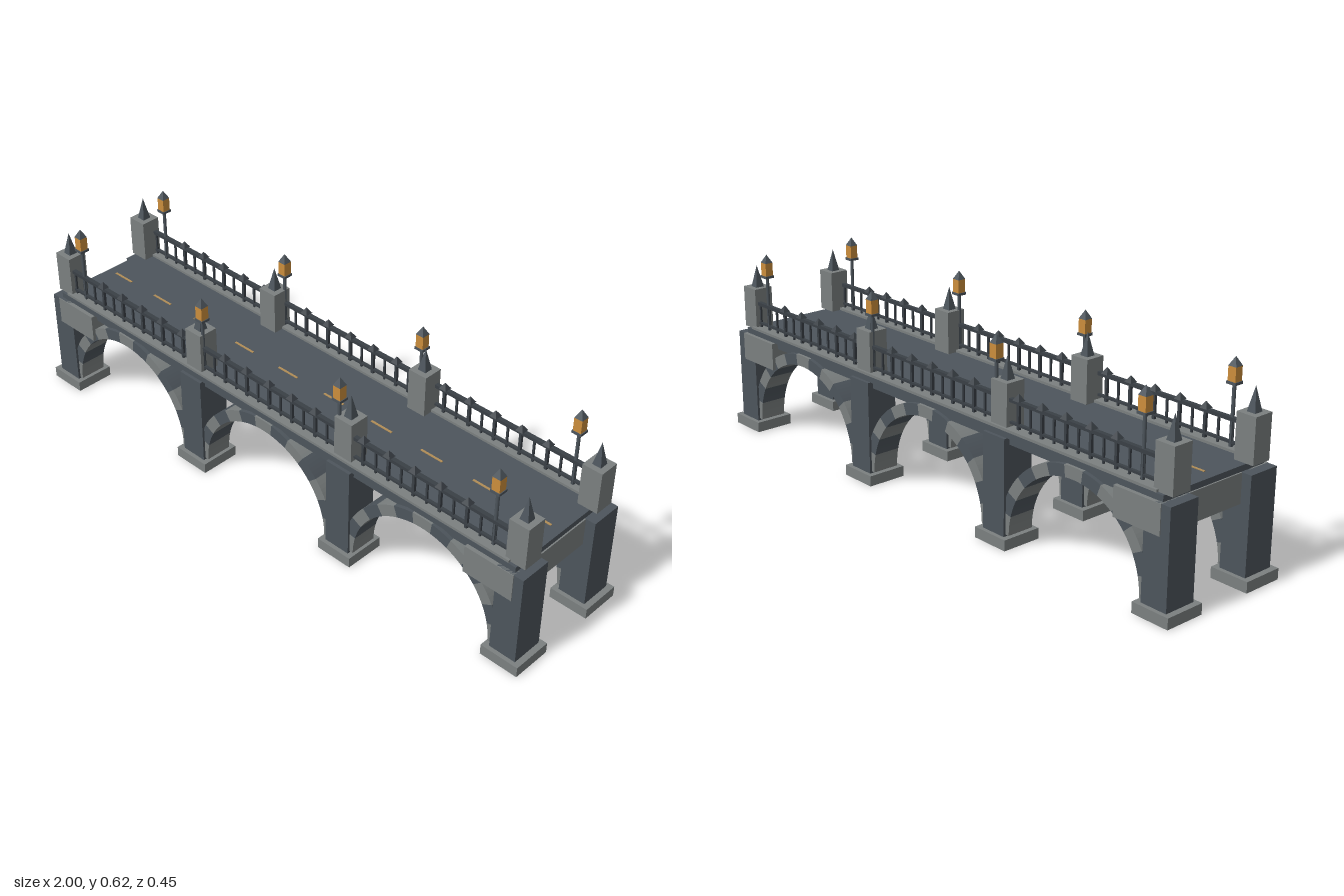
import * as THREE from 'three';

const mat = (name, color) => {
  const m = new THREE.MeshStandardMaterial({ color });
  m.name = name;
  return m;
};

export function createModel() {
  const stone = mat('pale stone', 0x7b8080);
  const slate = mat('dark slate', 0x4d555c);
  const iron = mat('dark iron', 0x3a4046);
  const amber = mat('amber glass', 0xcc8e3c);
  const paint = mat('road paint', 0xb08d57);

  const model = new THREE.Group();
  model.name = 'bridge';

  const add = (name, geo, material, x = 0, y = 0, z = 0, parent = model) => {
    const mesh = new THREE.Mesh(geo, material);
    mesh.name = name;
    mesh.position.set(x, y, z);
    parent.add(mesh);
    return mesh;
  };
  // Box given by its centre in x and z and its bottom and top heights
  const box = (name, material, x, z, y0, y1, w, d, parent) =>
    add(name, new THREE.BoxGeometry(w, y1 - y0, d), material, x, (y0 + y1) / 2, z, parent);
  // Square pyramid with its sides along the axes
  const pyramid = (name, material, x, z, y0, y1, w, parent) => {
    const geo = new THREE.ConeGeometry(w / Math.SQRT2, y1 - y0, 4).toNonIndexed();
    geo.rotateY(Math.PI / 4);
    geo.computeVertexNormals();
    return add(name, geo, material, x, (y0 + y1) / 2, z, parent);
  };

  // Road deck, with a narrower slab below
  box('deck', slate, 0, 0, 0.334, 0.352, 1.89, 0.398);
  box('deckSlab', slate, 0, 0, 0.313, 0.334, 1.87, 0.38);
  for (let i = 0; i < 10; i++) {
    box('laneDash', paint, (i - 4.5) * 0.193, 0, 0.351, 0.354, 0.08, 0.007);
  }

  // Abutment blocks at both ends
  for (const s of [-1, 1]) box('abutment', stone, s * 0.866, 0, 0.243, 0.334, 0.167, 0.424);

  // One curved block of an arch ring
  const rIn = 0.254, rOut = 0.291, springY = 0.04, blocks = 13;
  const archBlock = (a0, a1) => {
    const shape = new THREE.Shape();
    shape.absarc(0, 0, rOut, a0, a1, false);
    shape.absarc(0, 0, rIn, a1, a0, true);
    shape.closePath();
    return new THREE.ExtrudeGeometry(shape, { depth: 0.09, bevelEnabled: false, curveSegments: 3 });
  };

  const step = 0.0944;
  for (const s of [1, -1]) {
    const z = s * 0.157;
    const railZ = s * 0.174;

    // Piers with footings, newels and spikes
    for (const x of [-0.936, -0.312, 0.312, 0.936]) {
      box('footing', stone, x, z, 0, 0.034, 0.128, 0.132);
      box('pier', slate, x, z, 0.034, 0.334, 0.09, 0.105);
      box('newel', stone, x, z, 0.352, 0.49, 0.066, 0.066);
      pyramid('newelSpike', slate, x, z, 0.49, 0.563, 0.029);
    }

    // Arch rings of alternating blocks
    for (const x of [-0.624, 0, 0.624]) {
      const arch = new THREE.Group();
      arch.name = 'arch';
      arch.position.set(x, springY, z - 0.045);
      model.add(arch);
      for (let i = 0; i < blocks; i++) {
        const geo = archBlock((i * Math.PI) / blocks, ((i + 1) * Math.PI) / blocks);
        add('archBlock', geo, i % 2 ? slate : stone, 0, 0, 0, arch);
      }
    }

    // Kerb and railing
    box('kerb', stone, 0, s * 0.177, 0.352, 0.36, 1.84, 0.042);
    box('topRail', iron, 0, railZ, 0.435, 0.446, 1.82, 0.014);
    box('lowerRail', iron, 0, railZ, 0.37, 0.377, 1.82, 0.01);
    for (let i = -19; i <= 19; i++) {
      const main = i % 2 === 0;
      const w = main ? 0.009 : 0.006;
      box('baluster', iron, (i * step) / 2, railZ, 0.36, 0.436, w, w);
      if (main && i % 6 !== 0 || i === 0 || Math.abs(i) === 12) {
        pyramid('finial', iron, (i * step) / 2, railZ, 0.446, 0.466, 0.026);
      }
    }

    // Lamps
    for (const k of [-9, -3, 3, 9]) {
      const lamp = new THREE.Group();
      lamp.name = 'lamp';
      lamp.position.set(k * step, 0, railZ);
      model.add(lamp);
      add('lampPost', new THREE.CylinderGeometry(0.0055, 0.0055, 0.181, 8), slate, 0, 0.4505, 0, lamp);
      box('lampPlate', slate, 0, 0, 0.541, 0.549, 0.032, 0.032, lamp);
      box('lantern', amber, 0, 0, 0.549, 0.592, 0.027, 0.027, lamp);
      pyramid('lampRoof', slate, 0, 0, 0.592, 0.619, 0.028, lamp);
    }
  }
  return model;
}
